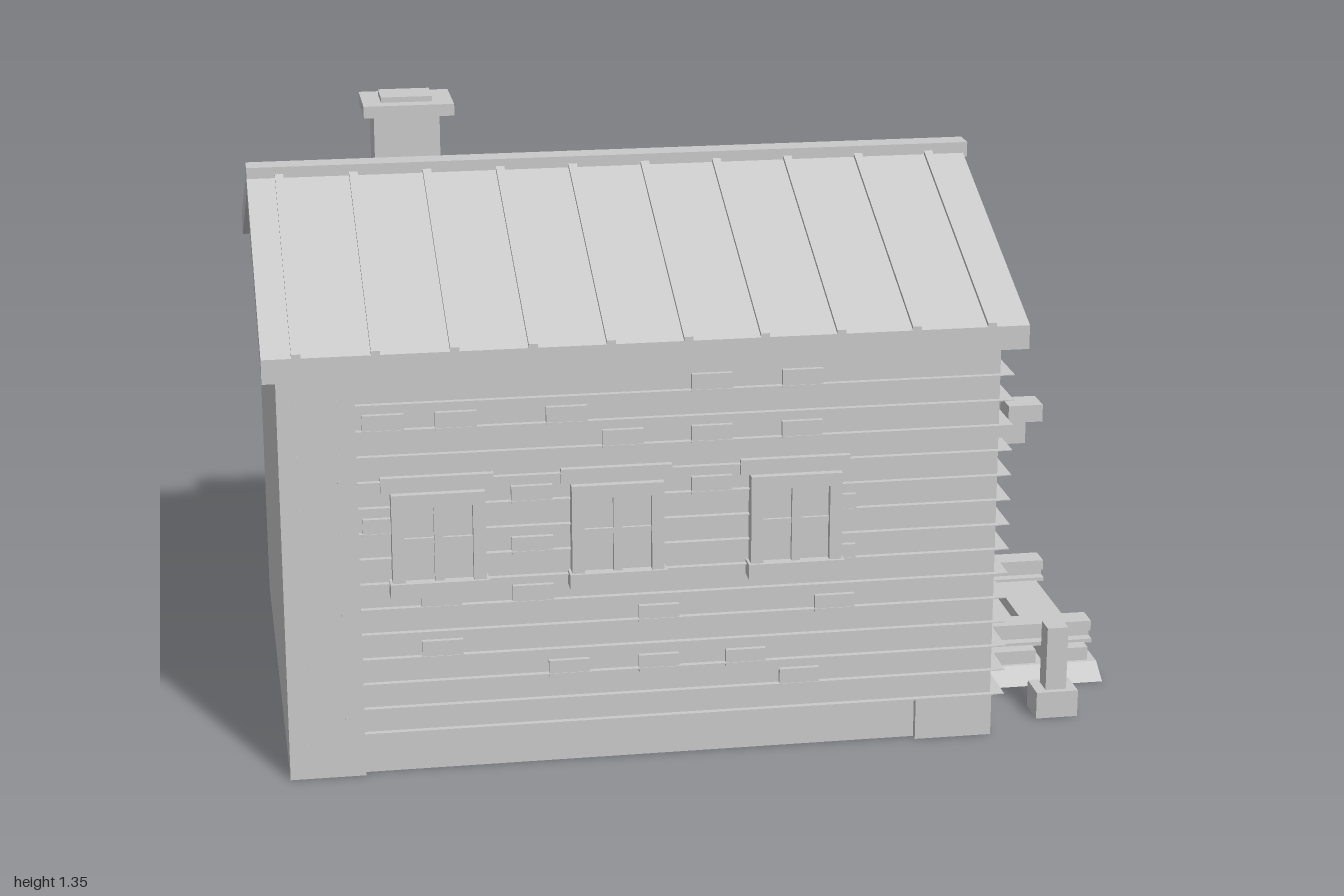
import * as THREE from 'three';

export function createModel() {
  const model = new THREE.Group();
  const grey = new THREE.MeshStandardMaterial({ color: 0xc9c9c9 });
  grey.name = 'stone grey';

  const add = (name, geo, parent = model) => {
    const m = new THREE.Mesh(geo, grey);
    m.name = name;
    parent.add(m);
    return m;
  };
  const group = (name) => {
    const g = new THREE.Group();
    g.name = name;
    model.add(g);
    return g;
  };
  // box given by its limits
  const box = (name, x0, x1, y0, y1, z0, z1, parent) => {
    const g = new THREE.BoxGeometry(x1 - x0, y1 - y0, Math.abs(z1 - z0));
    g.translate((x0 + x1) / 2, (y0 + y1) / 2, (z0 + z1) / 2);
    return add(name, g, parent);
  };
  // cross-section in (z, y), symmetric about z = 0, swept from x0 to x1
  const sweep = (name, shape, x0, x1, parent) => {
    const g = new THREE.ExtrudeGeometry(shape, { depth: x1 - x0, bevelEnabled: false, curveSegments: 16 });
    g.rotateY(Math.PI / 2).translate(x0, 0, 0);
    return add(name, g, parent);
  };
  const poly = (pts) => new THREE.Shape(pts.map((p) => new THREE.Vector2(...p)));

  const W = 0.62, FACE = 0.608, R = 0.37, SPRING = 0.61;

  // front wall with arched doorway
  const front = new THREE.Shape();
  front.moveTo(-FACE, 0);
  front.lineTo(-R, 0);
  front.lineTo(-R, SPRING);
  front.absarc(0, SPRING, R, Math.PI, 0, true);
  front.lineTo(R, 0);
  front.lineTo(FACE, 0);
  front.lineTo(FACE, 0.965);
  front.lineTo(0, 1.21);
  front.lineTo(-FACE, 0.965);
  sweep('frontWall', front, 0.47, 0.65);

  // back wall
  sweep('backWall', poly([[-W, 0], [W, 0], [W, 0.96], [0, 1.21], [-W, 0.96]]), -0.97, -0.93);
  box('backLedge', -0.93, -0.85, 0, 0.255, -0.58, 0.58);

  // roof slab, standing seams and ridge
  const chevron = (zMax, top, eaveTop, bottom, eaveBottom) => poly([
    [-zMax, eaveBottom], [0, bottom], [zMax, eaveBottom], [zMax, eaveTop], [0, top], [-zMax, eaveTop]]);
  sweep('roof', chevron(0.66, 1.262, 1.0, 1.21, 0.945), -1, 0.7);
  const seams = group('roofSeams');
  for (let i = 0; i < 10; i++) {
    const x = -0.925 + i * 0.171;
    sweep('roofSeam', chevron(0.66, 1.271, 1.009, 1.25, 0.99), x - 0.01, x + 0.01, seams);
  }
  box('ridgeCap', -1, 0.71, 1.24, 1.276, -0.03, 0.03);

  // chimney
  box('chimneyStack', -0.68, -0.52, 1.0, 1.31, -0.475, -0.33);
  box('chimneyCap', -0.705, -0.485, 1.308, 1.337, -0.495, -0.315);
  box('chimneyTop', -0.66, -0.535, 1.335, 1.35, -0.455, -0.355);

  // brick positions [x, y] on the long walls
  const bricks = [[-0.74, 0.83], [-0.58, 0.83], [-0.335, 0.83], [-0.01, 0.89], [0.195, 0.89],
    [-0.21, 0.77], [-0.01, 0.77], [0.195, 0.77], [-0.415, 0.65], [-0.01, 0.65], [-0.745, 0.59],
    [0.275, 0.59], [-0.415, 0.53], [0.275, 0.47], [-0.62, 0.415], [-0.415, 0.415], [-0.13, 0.35],
    [0.275, 0.35], [-0.62, 0.295], [-0.335, 0.23], [-0.13, 0.23], [0.07, 0.23], [0.195, 0.175]];
  const courses = Array.from({ length: 14 }, (_, i) => 0.1 + i * 0.0595);

  for (const s of [1, -1]) {
    const side = group(s > 0 ? 'leftSideWall' : 'rightSideWall');
    const sbox = (name, x0, x1, y0, y1, z0, z1) => box(name, x0, x1, y0, y1, s * z0, s * z1, side);
    // wall, corner pilaster, corner plinth
    sbox('wall', -0.95, 0.5, 0, 0.96, 0.56, 0.602);
    sbox('cornerPilaster', -0.97, -0.8, 0, 0.96, 0.56, W);
    sbox('wallPanel', -0.8, 0.47, 0.09, 0.96, 0.59, FACE);
    sbox('cornerPlinth', 0.47, 0.65, 0, 0.1, 0.59, W);
    // thin stone courses
    for (const y of courses) sbox('course', -0.8, 0.655, y - 0.001, y + 0.001, 0.6, 0.622);
    for (const [x, y] of bricks) sbox('brick', x - 0.046, x + 0.046, y - 0.02, y + 0.02, 0.6, W);
    // rivets
    for (let i = 0; i < 14; i++) {
      for (const x of [-0.93, -0.84]) {
        const g = new THREE.CylinderGeometry(0.004, 0.004, 0.004, 6);
        g.rotateX(Math.PI / 2).translate(x, 0.08 + i * 0.062, s * 0.621);
        add('rivet', g, side);
      }
    }
    // windows
    for (const x of [-0.625, -0.225, 0.18]) {
      sbox('windowPane', x - 0.09, x + 0.09, 0.46, 0.66, 0.6, 0.624);
      for (const d of [-1, 1]) {
        const a = x + d * 0.09;
        sbox('windowJamb', a - 0.014, a + 0.014, 0.46, 0.67, 0.6, 0.642);
        const c = x + d * 0.042;
        sbox('sashBar', c - 0.034, c + 0.034, 0.553, 0.565, 0.6, 0.632);
      }
      sbox('windowMullion', x - 0.01, x + 0.01, 0.46, 0.67, 0.6, 0.636);
      sbox('windowHead', x - 0.104, x + 0.104, 0.64, 0.67, 0.6, 0.642);
      sbox('windowSill', x - 0.11, x + 0.11, 0.43, 0.465, 0.6, 0.65);
      sbox('windowLintel', x - 0.125, x + 0.125, 0.67, 0.705, 0.6, 0.624);
    }

    // courses and jamb stones on the front wall
    for (const y of courses) sbox('frontCourse', 0.64, 0.68, y - 0.001, y + 0.001, R, W);
    for (let i = 0; i < 7; i++) {
      const y = 0.1 + i * 0.0755;
      sbox('jambStone', 0.64, 0.69, y, y + 0.07, 0.365, 0.405);
    }

    // wall lamp
    sbox('lampBracket', 0.64, 0.735, 0.68, 0.74, 0.49, 0.53);
    sbox('lampHead', 0.69, 0.77, 0.735, 0.775, 0.475, 0.545);

    // bollard
    sbox('bollardBase', 0.78, 0.88, 0, 0.065, 0.47, 0.55);
    sbox('bollardPost', 0.805, 0.855, 0.06, 0.22, 0.485, 0.535);

    // rail: flange, web, head
    sbox('railFlange', -0.85, 1, 0.062, 0.072, 0.175, 0.255);
    sbox('railWeb', -0.85, 1, 0.07, 0.095, 0.2, 0.23);
    sbox('railHead', -0.85, 1, 0.09, 0.115, 0.185, 0.245);

    // end stop inside the shed
    sbox('endStopPost', -0.85, -0.79, 0.06, 0.21, 0.175, 0.255);
    sbox('endStopBeam', -0.85, -0.77, 0.21, 0.255, 0.145, 0.295);

    // floor beside the track
    sbox('sideFloor', -0.95, 0.6, 0, 0.03, 0.35, 0.6);
  }

  // arch stones around the doorway, with keystone
  const arch = group('doorArch');
  const N = 15;
  for (let i = 0; i < N; i++) {
    if (i === (N - 1) / 2) continue;
    const a0 = (i + 0.06) * Math.PI / N, a1 = (i + 0.94) * Math.PI / N;
    const stone = new THREE.Shape();
    stone.absarc(0, SPRING + 0.005, 0.418, a0, a1, false);
    stone.absarc(0, SPRING + 0.005, 0.365, a1, a0, true);
    sweep('archStone', stone, 0.64, 0.685, arch);
  }
  sweep('keystone', poly([[-0.037, 0.978], [0.037, 0.978], [0.05, 1.053], [-0.05, 1.053]]), 0.64, 0.695, arch);

  // plain plaque with three square studs
  const plaque = group('plaque');
  box('plaqueBoard', 0.64, 0.675, 1.1, 1.16, -0.085, 0.085, plaque);
  for (const s of [-1, 1]) {
    box('plaqueEnd', 0.64, 0.69, 1.09, 1.17, s * 0.082, s * 0.097, plaque);
    box('plaqueEdge', 0.64, 0.685, 1.13 + s * 0.03 - 0.008, 1.13 + s * 0.03 + 0.008, -0.09, 0.09, plaque);
  }
  for (const z of [-0.047, 0, 0.047]) box('plaqueStud', 0.66, 0.685, 1.118, 1.14, z - 0.011, z + 0.011, plaque);

  // hollow track bed with sloped shoulders, and sleepers showing through below
  const track = group('track');
  sweep('trackBed', poly([[-0.355, 0], [-0.34, 0], [-0.297, 0.024], [0.297, 0.024], [0.34, 0], [0.355, 0],
    [0.3, 0.032], [-0.3, 0.032]]), -0.82, 1, track);
  for (let i = 0; i < 14; i++) {
    const x = 0.925 - i * 0.13;
    box('sleeper', x - 0.055, x + 0.055, 0.02, 0.065, -0.29, 0.29, track);
  }
  return model;
}
